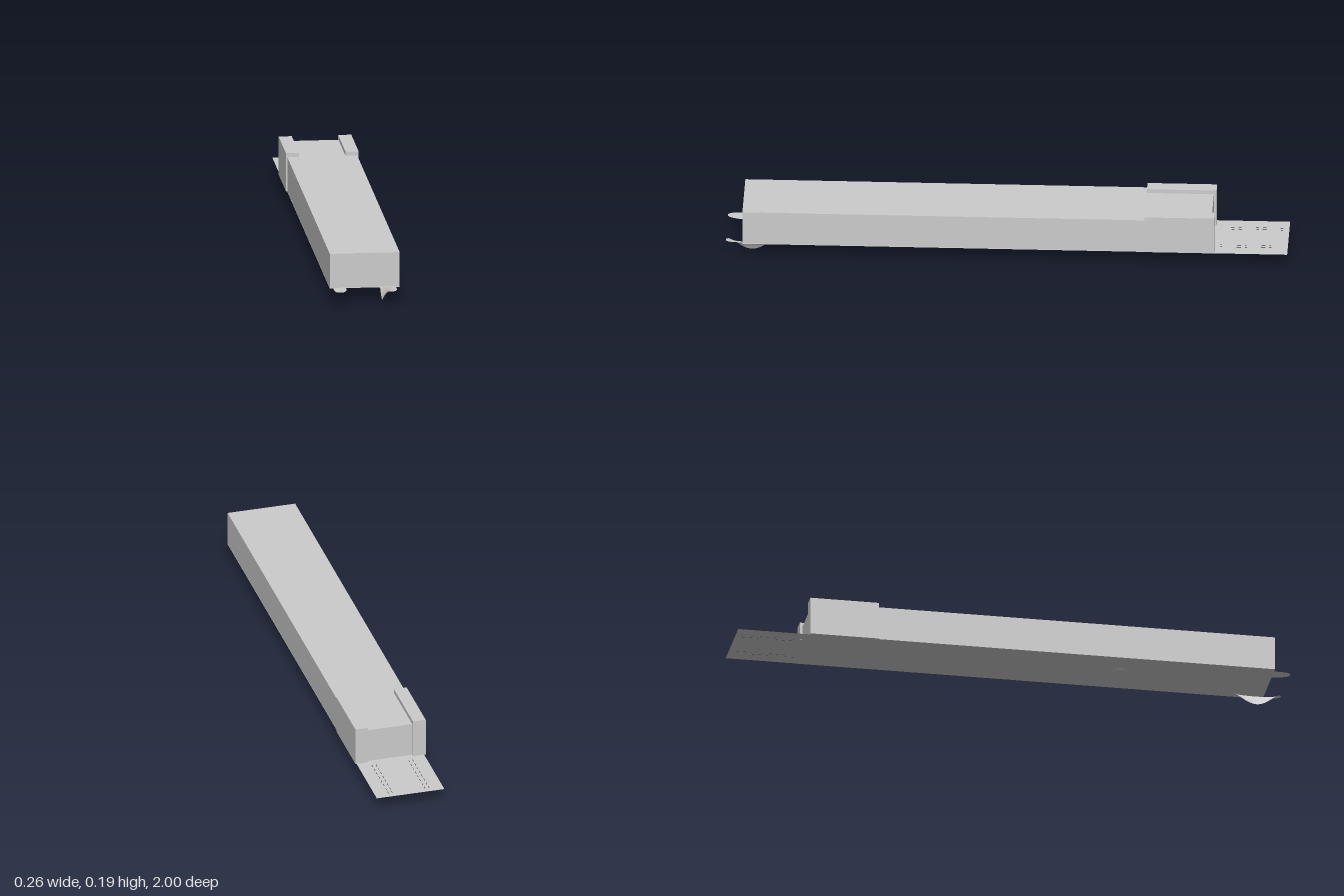
import * as THREE from 'three';

const mat = new THREE.MeshStandardMaterial({ color: 0xcccccc, flatShading: true });
const sheetMat = new THREE.MeshStandardMaterial({ color: 0xcccccc, side: THREE.DoubleSide });

const BASE_Y = 0.051;

// Box given by its extents on each axis
function block(name, [x0, x1], [y0, y1], [z0, z1]) {
  const mesh = new THREE.Mesh(new THREE.BoxGeometry(x1 - x0, y1 - y0, z1 - z0), mat);
  mesh.position.set((x0 + x1) / 2, (y0 + y1) / 2, (z0 + z1) / 2);
  mesh.name = name;
  return mesh;
}

// Thin plate with rows of narrow slits in the exposed tail
function basePlate() {
  const shape = new THREE.Shape();
  shape.moveTo(-0.125, -0.94).lineTo(0.125, -0.94).lineTo(0.125, 1).lineTo(-0.125, 1).closePath();
  for (const x of [-0.075, -0.06, 0.06, 0.075]) {
    for (let i = 0; i < 8; i++) {
      const y = 0.76 + i * 0.029, w = 0.0008;
      const slit = new THREE.Path();
      slit.moveTo(x - w, y).lineTo(x - w, y + 0.015).lineTo(x + w, y + 0.015).lineTo(x + w, y).closePath();
      shape.holes.push(slit);
    }
  }
  const mesh = new THREE.Mesh(new THREE.ShapeGeometry(shape).rotateX(-Math.PI / 2), sheetMat);
  mesh.position.y = BASE_Y;
  mesh.name = 'basePlate';
  return mesh;
}

// Thin tongue with a rounded tip; its inner edge sags by the given depth
function tongue(name, side, depth) {
  const geo = new THREE.PlaneGeometry(1, 1, 10, 24);
  const pos = geo.attributes.position;
  for (let i = 0; i < pos.count; i++) {
    const s = pos.getX(i) + 0.5, t = pos.getY(i) + 0.5;
    const z = 0.79 + 0.21 * t;
    const tip = Math.max(0, (z - 0.94) / 0.06);
    const half = 0.0235 * (0.3 + 0.7 * Math.sqrt(Math.max(0, 1 - tip * tip)));
    const x = 0.0885 + half * (1 - 2 * s) + 0.004 * tip;
    const sag = depth * Math.sin(Math.PI * Math.pow(t, 1.2)) ** 1.5 * s * s;
    pos.setXYZ(i, side * x, BASE_Y - 0.001 - (sag || 0), z);
  }
  geo.computeVertexNormals();
  const mesh = new THREE.Mesh(geo, sheetMat);
  mesh.name = name;
  return mesh;
}

export function createModel() {
  const model = new THREE.Group();
  model.name = 'longCase';
  model.add(block('body', [-0.125, 0.125], [0.053, 0.178], [-0.73, 0.94]));

  // Raised side blocks near the back
  model.add(block('leftSideBlock', [0.083, 0.13], [0.053, 0.193], [-0.74, -0.492]));
  model.add(block('rightSideBlock', [-0.13, -0.083], [0.053, 0.193], [-0.74, -0.492]));

  model.add(basePlate());

  // Front tongues: the left one curls down to the ground
  model.add(tongue('leftTongue', 1, 0.05));
  model.add(tongue('rightTongue', -1, 0.003));

  // Shallow button under the plate
  const button = new THREE.Mesh(new THREE.CylinderGeometry(0.025, 0.022, 0.004, 24), mat);
  button.position.set(-0.015, BASE_Y - 0.002, 0.4);
  button.name = 'underButton';
  model.add(button);
  return model;
}
